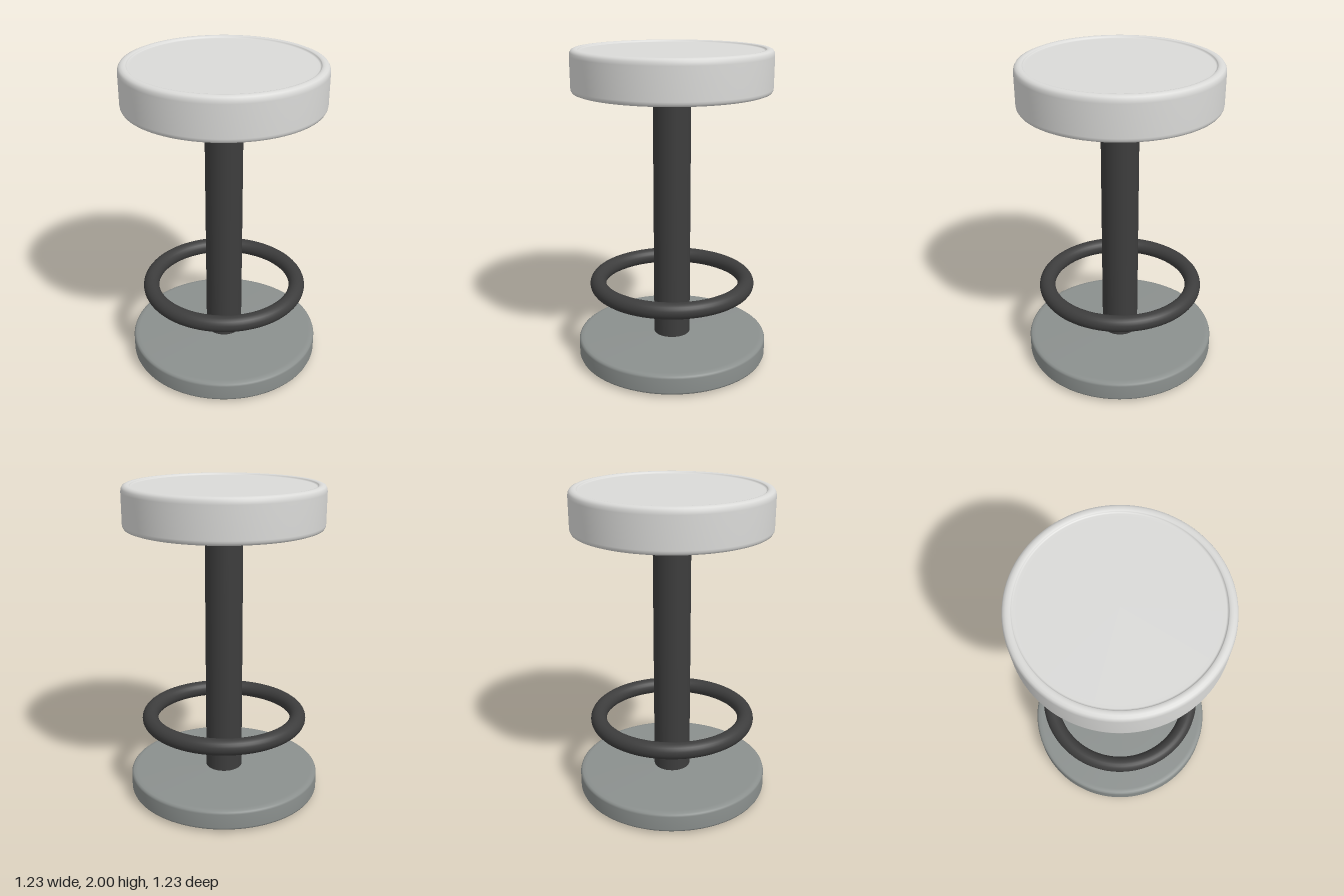
import * as THREE from 'three';

const material = (name, color) => Object.assign(new THREE.MeshStandardMaterial({ color }), { name });

// Smooth lathe with tight bevels; the profile runs from the bottom axis outward and up to the top axis
function turned(name, points, mat) {
  const profile = points.map(([r, y]) => new THREE.Vector2(r, y));
  const mesh = new THREE.Mesh(new THREE.LatheGeometry(profile, 96), mat);
  mesh.name = name;
  return mesh;
}

export function createModel() {
  const cushion = material('light grey cushion', 0xdadad8);
  const stone = material('mid grey base', 0x8b908e);
  const metal = material('dark grey metal', 0x3d3d3d);

  const stool = new THREE.Group();
  stool.name = 'barStool';

  // Round seat with a softly rounded rim around a shallow recessed top
  stool.add(turned('seat', [
    [0, 1.74], [0.56, 1.74], [0.59, 1.741], [0.604, 1.746], [0.61, 1.757], [0.612, 1.77],
    [0.613, 1.96], [0.61, 1.98], [0.602, 1.993], [0.588, 1.999], [0.575, 2],
    [0.564, 1.998], [0.56, 1.994], [0.557, 1.988], [0.55, 1.987], [0.53, 1.987], [0, 1.987],
  ], cushion));

  // Weighted base disc, very slightly domed
  stool.add(turned('base', [
    [0, 0], [0.3, 0.003], [0.57, 0.01], [0.596, 0.013], [0.607, 0.02], [0.612, 0.032],
    [0.612, 0.122], [0.608, 0.134], [0.598, 0.141], [0.575, 0.145], [0.3, 0.15], [0, 0.156],
  ], stone));

  // Central column
  const column = new THREE.Mesh(new THREE.CylinderGeometry(0.117, 0.117, 1.62, 64), metal);
  column.name = 'column';
  column.position.y = 0.94;
  stool.add(column);

  // Foot ring around the column
  const ring = new THREE.Mesh(new THREE.TorusGeometry(0.479, 0.051, 24, 96), metal);
  ring.name = 'footRing';
  ring.rotation.x = Math.PI / 2;
  ring.position.y = 0.505;
  stool.add(ring);

  return stool;
}
